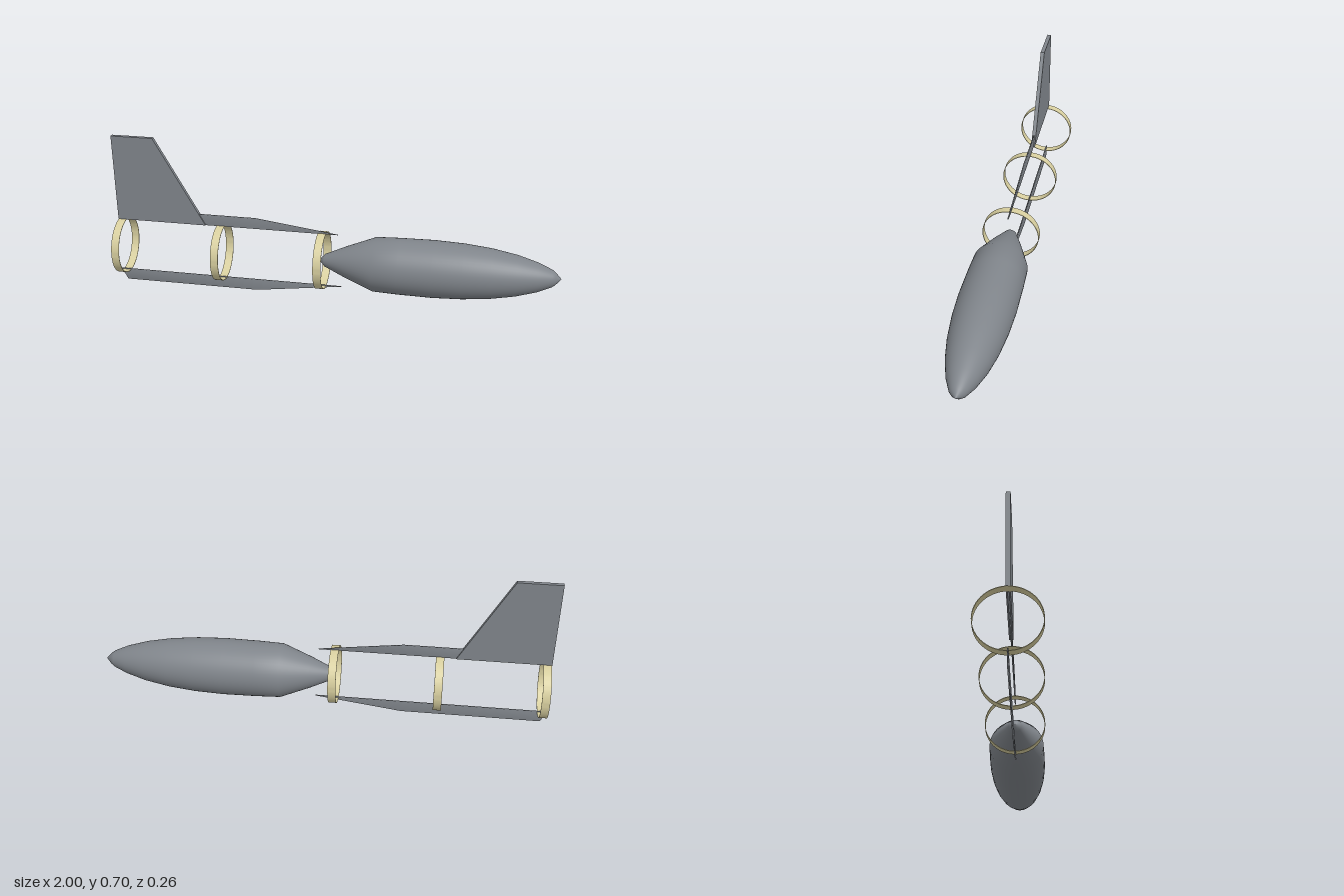
import * as THREE from 'three';
import { mergeVertices, toCreasedNormals } from 'three/addons/utils/BufferGeometryUtils.js';

const AXIS_Y = 0.18;

export function createModel() {
  const model = new THREE.Group();
  const grey = new THREE.MeshStandardMaterial({ color: 0x80858b });
  grey.name = 'slate grey';
  const cream = new THREE.MeshStandardMaterial({ color: 0xd8cf9f });
  cream.name = 'pale cream';

  function add(name, geometry, material) {
    const mesh = new THREE.Mesh(geometry, material);
    mesh.name = name;
    model.add(mesh);
    return mesh;
  }

  // Flat plate in the xy plane, centred on z = 0
  function plate(points, depth) {
    const shape = new THREE.Shape(points.map(([x, y]) => new THREE.Vector2(x, y)));
    return new THREE.ExtrudeGeometry(shape, { depth, bevelEnabled: false }).translate(0, 0, -depth / 2);
  }

  // Shared normals give the thin strakes a soft shade
  function softPlate(points, depth) {
    const geometry = plate(points, depth);
    geometry.deleteAttribute('normal');
    geometry.deleteAttribute('uv');
    const soft = mergeVertices(geometry);
    soft.computeVertexNormals();
    return soft;
  }

  // Spindle body: radius against x
  const profile = [
    [-0.055, 0], [-0.05, 0.012], [-0.035, 0.028], [0.06, 0.07], [0.19, 0.121], [0.3, 0.125],
    [0.45, 0.127], [0.58, 0.122], [0.7, 0.11], [0.81, 0.09], [0.9, 0.064],
    [0.96, 0.038], [0.975, 0.027], [1, 0],
  ].map(([x, r]) => new THREE.Vector2(r, x));
  const body = new THREE.LatheGeometry(profile, 48).rotateZ(-Math.PI / 2);
  add('body', body, grey).position.y = AXIS_Y;

  // Three thin hoops carrying the strakes
  const hoop = new THREE.Shape().absarc(0, 0, 0.129, 0, Math.PI * 2);
  hoop.holes.push(new THREE.Path().absarc(0, 0, 0.1265, 0, Math.PI * 2, true));
  const hoopGeometry = toCreasedNormals(
    new THREE.ExtrudeGeometry(hoop, { depth: 0.036, bevelEnabled: false, curveSegments: 48 })
      .translate(0, 0, -0.018).rotateY(Math.PI / 2), 0.6);
  [['rearHoop', -0.972], ['middleHoop', -0.511], ['frontHoop', -0.048]].forEach(([name, x]) => {
    add(name, hoopGeometry, cream).position.set(x, AXIS_Y, 0);
  });

  // Strakes along the top and bottom of the hoops
  add('topStrake', softPlate([[-0.99, 0.307], [0.025, 0.307], [-0.35, 0.357], [-0.97, 0.357]], 0.006), grey);
  add('bottomStrake', softPlate([[-1, 0.056], [-0.97, 0.004], [-0.35, 0.004], [0.04, 0.056]], 0.006), grey);

  // Upright tail fin
  add('tailFin', plate([[-0.992, 0.308], [-0.58, 0.308], [-0.805, 0.704], [-0.997, 0.704]], 0.018), grey);

  // Put the base on the ground
  model.children.forEach((mesh) => { mesh.position.y -= 0.003; });
  return model;
}
